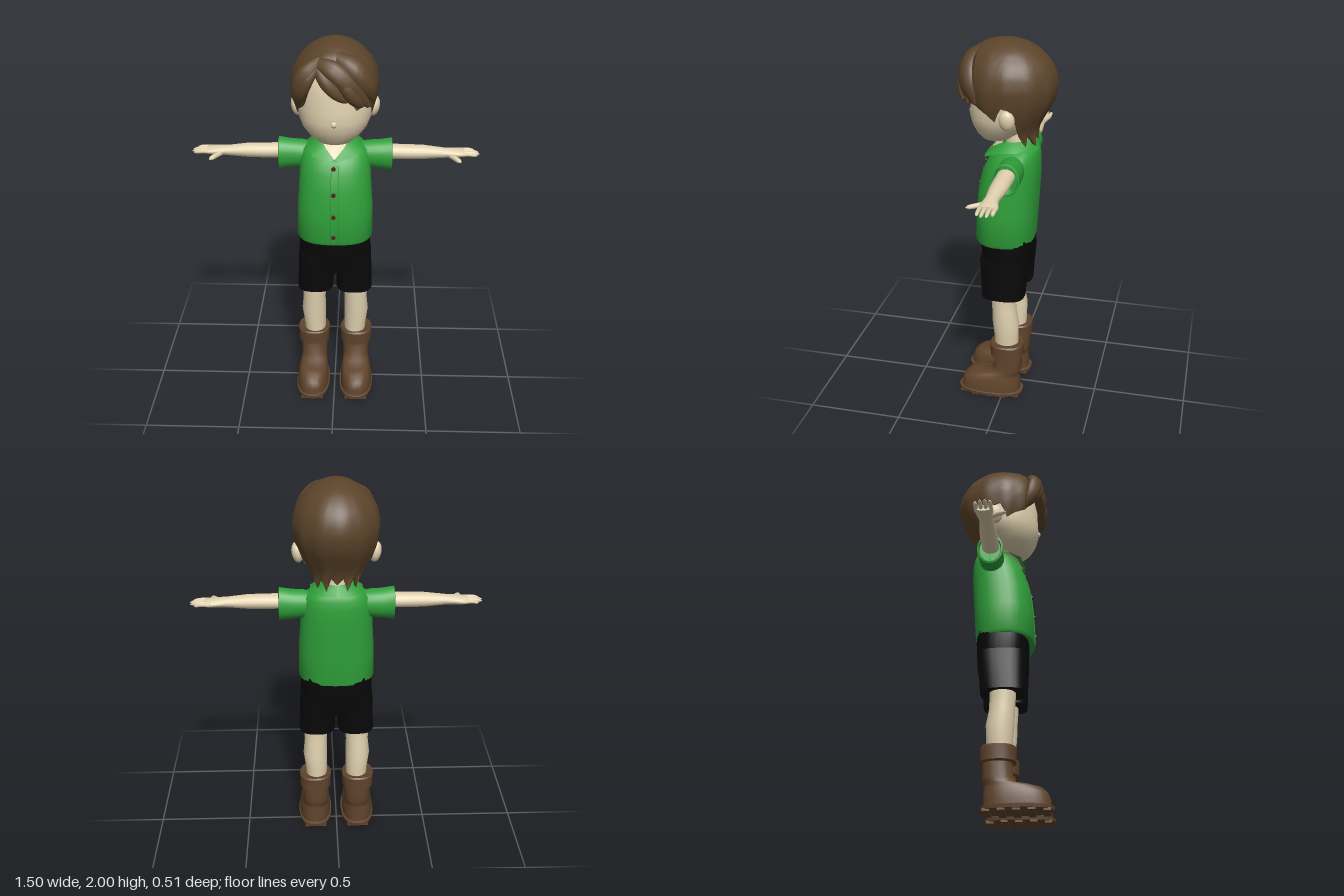
import * as THREE from 'three';
import { toCreasedNormals } from 'three/addons/utils/BufferGeometryUtils.js';

const mat = (name, color, side = THREE.FrontSide) => {
  const m = new THREE.MeshStandardMaterial({ color, side });
  m.name = name;
  return m;
};
const V = (x, y, z) => new THREE.Vector3(x, y, z);

// Indexed skin over rows of points, with optional end caps
function skinRows(rows, closed = true, caps = true) {
  const n = rows[0].length, pos = [], idx = [];
  rows.forEach(r => r.forEach(p => pos.push(p.x, p.y, p.z)));
  for (let j = 0; j < rows.length - 1; j++)
    for (let i = 0; i < (closed ? n : n - 1); i++) {
      const a = j * n + i, b = j * n + (i + 1) % n;
      idx.push(a, a + n, b, b, a + n, b + n);
    }
  if (caps) [0, rows.length - 1].forEach(j => {
    const c = rows[j].reduce((s, p) => s.add(p), V(0, 0, 0)).divideScalar(n);
    const k = pos.length / 3;
    pos.push(c.x, c.y, c.z);
    for (let i = 0; i < n; i++) {
      const a = j * n + i, b = j * n + (i + 1) % n;
      j === 0 ? idx.push(k, a, b) : idx.push(k, b, a);
    }
  });
  const g = new THREE.BufferGeometry();
  g.setAttribute('position', new THREE.Float32BufferAttribute(pos, 3));
  g.setIndex(idx);
  return g;
}

// Rounded cross-sections: axis y takes [y, x, rx, z, rz]; axis x takes [x, z, rz, y, ry]
function loft(rings, { axis = 'y', n = 24, p = 2 } = {}) {
  const pw = v => Math.sign(v) * Math.abs(v) ** (2 / p);
  return skinRows(rings.map(([t, c1, r1, c2, r2]) => Array.from({ length: n }, (_, i) => {
    const a = i / n * Math.PI * 2, u = c1 + r1 * pw(Math.cos(a)), v = c2 + r2 * pw(Math.sin(a));
    return axis === 'y' ? V(u, t, v) : V(t, v, u);
  })));
}

// Tapered flat tube along a curve; its flat side faces away from the centre point
function strand(points, width, thick, centre, taper, n = 10, steps = 12) {
  const curve = new THREE.CatmullRomCurve3(points.map(q => V(...q)));
  const rows = [];
  for (let j = 0; j <= steps; j++) {
    const t = j / steps, c = curve.getPoint(t), T = curve.getTangent(t), k = taper(t);
    const O = c.clone().sub(centre);
    O.addScaledVector(T, -O.dot(T)).normalize();
    const A = T.clone().cross(O);
    rows.push(Array.from({ length: n }, (_, i) => {
      const a = i / n * Math.PI * 2;
      return c.clone().addScaledVector(A, width * k * Math.cos(a)).addScaledVector(O, thick * k * Math.sin(a));
    }));
  }
  return skinRows(rows);
}

function lookup(table, x, k = 1) {
  let i = 1;
  while (i < table.length - 1 && table[i][0] < x) i++;
  const a = table[i - 1], b = table[i];
  return THREE.MathUtils.lerp(a[k], b[k], THREE.MathUtils.clamp((x - a[0]) / (b[0] - a[0]), 0, 1));
}

// Hair shell: outline by height [y, rx, front, back], and hem height by angle from the front
const HAIR = [[1.46, .13, .13, .168], [1.52, .14, .14, .148], [1.57, .165, .15, .165], [1.62, .19, .17, .195],
  [1.7, .213, .212, .238], [1.78, .222, .222, .252], [1.85, .208, .216, .236], [1.9, .182, .2, .207],
  [1.95, .135, .165, .155], [1.98, .085, .115, .1], [1.994, .045, .07, .05], [2, 0, 0, 0]];
const HEM = [[-180, 1.5], [-168, 1.53], [-156, 1.465], [-144, 1.53], [-132, 1.47], [-120, 1.54], [-110, 1.63],
  [-102, 1.69], [-92, 1.7], [-80, 1.62], [-68, 1.65], [-50, 1.68], [-38, 1.77], [-27, 1.87], [-9, 1.78], [0, 1.765],
  [14, 1.73], [22, 1.73], [32, 1.68], [42, 1.7], [50, 1.69], [68, 1.66], [80, 1.62], [92, 1.7], [102, 1.69],
  [110, 1.63], [120, 1.54], [132, 1.47], [144, 1.53], [156, 1.465], [168, 1.53], [180, 1.5]];
function hairShell() {
  const rows = [], n = 90, steps = 18;
  const at = (deg, y, k = 1) => {
    const a = deg * Math.PI / 180, c = Math.cos(a);
    return V(k * lookup(HAIR, y, 1) * Math.sin(a), y, k * c * lookup(HAIR, y, c > 0 ? 2 : 3));
  };
  for (let j = -1; j <= steps; j++)
    rows.push(Array.from({ length: n }, (_, i) => {
      const deg = 180 - i / n * 360, hem = lookup(HEM, deg);
      if (j < 0) return at(deg, hem + .01, .88);
      const s = 1 - j / steps;
      return at(deg, 2 - (2 - hem) * s ** 1.7, 1 + .012 * s * Math.sin(deg * .21));
    }));
  return skinRows(rows, true, false);
}

export function createModel() {
  const root = new THREE.Group();
  root.name = 'boy';
  const skin = mat('skin', 0xe0d1af, THREE.DoubleSide), hair = mat('hair brown', 0x5c442a, THREE.DoubleSide);
  const green = mat('shirt green', 0x2fa03a, THREE.DoubleSide), black = mat('shorts black', 0x080808);
  const leather = mat('boot brown', 0x60442c), button = mat('button brown', 0x55231a);

  const add = (name, g, m, crease = 1) => {
    const mesh = new THREE.Mesh(toCreasedNormals(g, crease), m);
    mesh.name = name;
    root.add(mesh);
  };
  // Left part plus its mirrored right twin
  const pair = (name, g, m, crease) => {
    const r = g.clone().scale(-1, 1, 1);
    r.index.array.reverse();
    add(name + 'Left', g, m, crease);
    add(name + 'Right', r, m, crease);
  };

  // Head, nose, ears, neck
  add('head', loft([[1.472, 0, .04, .055, .04], [1.485, 0, .085, .06, .075], [1.515, 0, .125, .05, .11],
    [1.56, 0, .163, .035, .148], [1.61, 0, .183, .022, .174], [1.66, 0, .19, .012, .18], [1.75, 0, .193, 0, .19],
    [1.85, 0, .17, 0, .17], [1.92, 0, .11, 0, .11]], { n: 32 }), skin);
  add('nose', new THREE.SphereGeometry(.016, 10, 8).translate(0, 1.612, .19), skin);
  pair('ear', new THREE.SphereGeometry(1, 14, 10).scale(.03, .054, .04).rotateZ(-.15).translate(.196, 1.635, -.035), skin);
  add('neck', loft([[1.4, 0, .07, -.045, .065], [1.46, 0, .056, -.045, .056], [1.56, 0, .06, -.03, .06]]), skin);

  // Hair shell with swept locks over the forehead
  add('hair', hairShell(), hair);
  const lockTaper = t => Math.sin(Math.PI * (.1 + .88 * t)) ** .6;
  const headCentre = V(0, 1.76, 0);
  [[[[-.07, 1.93, .15], [-.14, 1.87, .185], [-.175, 1.78, .175], [-.18, 1.69, .135]], .048, .032],
    [[[-.07, 1.92, .16], [-.125, 1.85, .2], [-.15, 1.79, .2], [-.165, 1.73, .185]], .035, .026],
    [[[-.09, 1.92, .16], [0, 1.89, .205], [.09, 1.81, .21], [.17, 1.7, .165]], .05, .025],
    [[[0, 1.95, .14], [.1, 1.9, .18], [.17, 1.81, .17], [.195, 1.71, .125]], .055, .028],
    [[[-.09, 1.91, .175], [-.045, 1.84, .215], [.01, 1.78, .22], [.06, 1.735, .213]], .032, .016],
    [[[0, 1.88, .2], [.06, 1.81, .215], [.1, 1.75, .21], [.14, 1.71, .195]], .036, .03]]
    .forEach(([pts, w, th], i) => add('hairLock' + (i + 1), strand(pts, w, th, headCentre, lockTaper), hair));

  // Shirt body, sleeves, collar, front placket and buttons
  const shirt = [[.93, 0, .192, .008, .152], [.945, 0, .2, .01, .156], [1.1, 0, .198, .002, .158],
    [1.22, 0, .19, -.007, .156], [1.31, 0, .184, -.02, .147], [1.37, 0, .178, -.032, .134],
    [1.41, 0, .168, -.045, .115], [1.436, 0, .14, -.055, .096], [1.455, 0, .09, -.06, .075]];
  add('shirt', loft(shirt, { n: 32, p: 2.5 }), green);
  pair('sleeve', loft([[.1, -.052, .05, 1.37, .055], [.17, -.052, .066, 1.365, .073], [.23, -.053, .066, 1.364, .078],
    [.293, -.053, .068, 1.365, .087], [.296, -.053, .06, 1.365, .078], [.28, -.053, .055, 1.368, .07]], { axis: 'x' }), green);
  const inner = [[0, 1.485, -.12], [.055, 1.488, -.105], [.083, 1.485, -.05], [.075, 1.475, .02], [.045, 1.44, .075], [.002, 1.395, .112]];
  const outer = [[0, 1.435, -.162], [.085, 1.437, -.145], [.135, 1.443, -.055], [.135, 1.435, .03], [.115, 1.408, .1], [.015, 1.388, .122]];
  pair('collar', skinRows([outer.map(q => V(...q)), inner.map(q => V(...q))], false, false), green);
  pair('chest', skinRows([inner.slice(3).map(([x, y, z]) => V(x, y, z - .002)),
    inner.slice(3).map(([, y, z]) => V(0, y, z - .002))], false, false), skin);
  const front = y => lookup(shirt, y, 3) + lookup(shirt, y, 4);
  add('placket', loft([.935, .945, 1.1, 1.22, 1.31, 1.385].map(y => [y, .003, .022, front(y) - .002, .006]), { n: 8, p: 4 }), green, .5);
  [.98, 1.095, 1.215, 1.345].forEach((y, i) =>
    add('button' + (i + 1), new THREE.CylinderGeometry(.011, .011, .008, 12).rotateX(Math.PI / 2).translate(-.004, y, front(y) + .006), button));

  // Arms, hands, fingers and thumbs
  pair('arm', loft([[.24, -.05, .046, 1.38, .04], [.36, -.05, .046, 1.378, .038], [.45, -.05, .044, 1.378, .037],
    [.56, -.048, .034, 1.376, .026], [.595, -.05, .04, 1.376, .024], [.64, -.053, .046, 1.376, .021],
    [.67, -.053, .042, 1.375, .016]], { axis: 'x', n: 18 }), skin);
  const fingerTaper = t => t < .75 ? 1 - .2 * t : .85 * Math.sqrt(Math.max(.04, 1 - ((t - .75) / .25) ** 2));
  const below = V(.65, 0, -.05);
  [[-.09, .725], [-.066, .745], [-.041, .748], [-.018, .735]].forEach(([z, tip], i) =>
    pair('finger' + (i + 1), strand([[.645, 1.376, z], [.69, 1.378, z], [tip, 1.372, z]], .0115, .0115, below, fingerTaper, 8, 8), skin));
  pair('thumb', strand([[.585, 1.37, -.045], [.615, 1.368, .005], [.645, 1.364, .055]], .017, .014, below, fingerTaper, 8, 8), skin);

  // Shorts
  add('shortsSeat', loft([[.735, 0, .17, -.003, .115], [.78, 0, .191, -.004, .131], [.96, 0, .188, -.003, .14]], { n: 32, p: 2.8 }), black);
  pair('shortsLeg', loft([[.62, .105, .097, .002, .116], [.7, .103, .096, .001, .12], [.84, .1, .094, -.002, .13]], { p: 2.8 }), black);

  // Legs
  pair('leg', loft([[.28, .11, .056, -.015, .064], [.36, .112, .059, -.014, .066], [.45, .117, .066, -.011, .072],
    [.53, .114, .061, -.002, .066], [.6, .112, .064, .002, .067], [.68, .11, .068, 0, .07]]), skin);

  // Boots: foot and shaft, folded cuff, sole and treads
  pair('boot', loft([[.02, .121, .086, .073, .165], [.06, .121, .086, .072, .165], [.095, .12, .082, .066, .158],
    [.12, .119, .077, .053, .143], [.134, .118, .072, .03, .12], [.145, .117, .07, -.01, .085], [.17, .116, .071, -.024, .076],
    [.28, .116, .073, -.022, .075]], { n: 28, p: 2.5 }), leather);
  pair('bootCuff', loft([[.245, .118, .074, -.021, .076], [.252, .118, .085, -.02, .09], [.29, .118, .086, -.019, .091],
    [.322, .118, .088, -.019, .093], [.33, .118, .082, -.019, .087], [.325, .116, .066, -.017, .07]], { p: 2.4 }), leather, .7);
  pair('bootSole', loft([[.01, .12, .09, .072, .18], [.027, .12, .093, .072, .182], [.03, .12, .088, .072, .176]], { n: 28, p: 2.5 }), leather, .6);
  for (let i = 0; i < 5; i++) {
    const w = i === 0 || i === 4 ? .12 : .16;
    pair('bootTread' + (i + 1), new THREE.BoxGeometry(w, .014, .036).translate(.12, .007, -.075 + i * .073), leather, .5);
  }
  return root;
}
